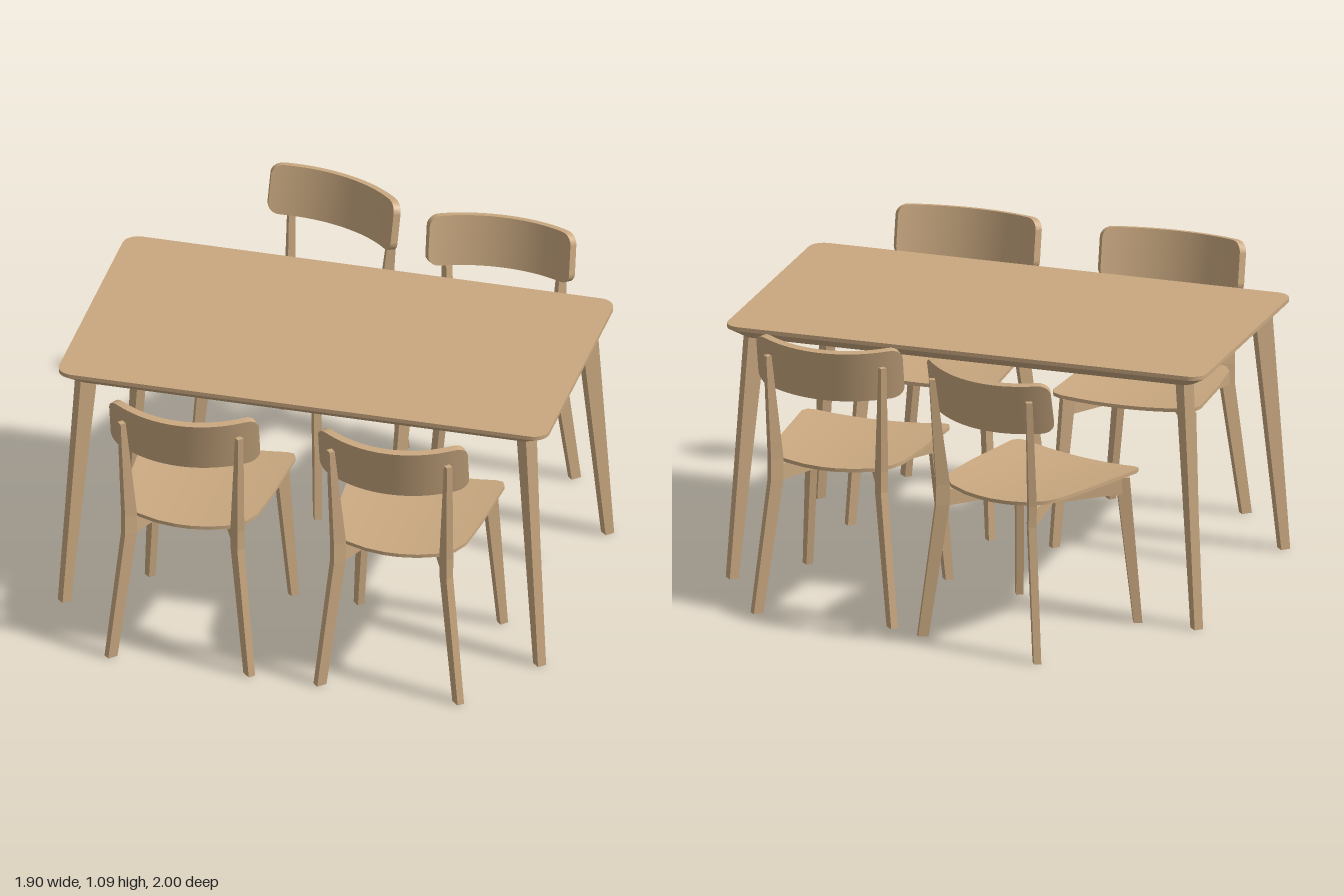
import * as THREE from 'three';

const wood = new THREE.MeshStandardMaterial({ color: 0xc9a880 });
wood.name = 'wood';

function add(parent, name, geometry) {
  const mesh = new THREE.Mesh(geometry, wood);
  mesh.name = name;
  parent.add(mesh);
  return mesh;
}

// Move every vertex of a geometry by a rule
function warp(geometry, rule) {
  const p = geometry.attributes.position;
  for (let i = 0; i < p.count; i++) p.setXYZ(i, ...rule(p.getX(i), p.getY(i), p.getZ(i)));
  geometry.computeVertexNormals();
  return geometry;
}

// Leg through sections [x, y, z, radial width, tangential width], set diagonally in plan
function leg(sections, sx, sz) {
  const n = sections.length - 1;
  const a = Math.atan2(-sz, sx), c = Math.cos(a), s = Math.sin(a);
  const g = warp(new THREE.BoxGeometry(1, 1, 1, 1, n, 1), (x, y, z) => {
    const [cx, cy, cz, r, t] = sections[Math.round((y + 0.5) * n)];
    return [cx * sx + x * r * c + z * t * s, cy, cz * sz - x * r * s + z * t * c];
  }).toNonIndexed();
  g.computeVertexNormals();
  return g;
}

// Upright plank between two plan points
function rail(parent, name, x1, z1, x2, z2) {
  const length = Math.hypot(x2 - x1, z2 - z1);
  const m = add(parent, name, new THREE.BoxGeometry(length, 0.063, 0.03));
  m.position.set((x1 + x2) / 2, 0.546, (z1 + z2) / 2);
  m.rotation.y = Math.atan2(z1 - z2, x2 - x1);
}

// Seat outline: z and half width, front to back
const seatRows = [[-0.31, 0.25], [-0.3, 0.28], [-0.27, 0.293], [0, 0.277], [0.16, 0.258],
  [0.215, 0.23], [0.255, 0.18], [0.277, 0.1], [0.285, 0.03]];

function seatGeometry() {
  const n = seatRows.length - 1;
  return warp(new THREE.BoxGeometry(2, 0.014, 2, 14, 1, n), (x, y, z) => {
    const [rz, w] = seatRows[Math.round((z + 1) / 2 * n)];
    const px = x * w;
    return [px, 0.586 + y + 0.018 * (px / 0.29) ** 2, rz];
  });
}

// Curved backrest with rounded corners, its outer middle at the origin
function backrestGeometry() {
  const half = 0.29, r = 0.04, bend = 0.47;
  return warp(new THREE.BoxGeometry(2, 2, 0.028, 28, 1, 1), (x, y, z) => {
    const px = half * Math.sin(x * Math.PI / 2);
    const over = Math.max(0, Math.abs(px) - (half - r));
    const h = 0.1 - r + Math.sqrt(Math.max(0, r * r - over * over));
    const angle = Math.asin(px / bend), radius = bend - 0.014 + z;
    return [radius * Math.sin(angle), y * h, radius * Math.cos(angle) - bend];
  });
}

// Chair with its back toward +z
function chair(x, z, turn) {
  const g = new THREE.Group();
  g.name = 'chair';
  const backLeg = [[0.268, 0, 0.316, 0.04, 0.028], [0.21, 0.52, 0.272, 0.052, 0.03],
    [0.21, 0.6, 0.27, 0.052, 0.03], [0.228, 1.02, 0.312, 0.022, 0.024]];
  const frontLeg = [[0.278, 0, 0.297, 0.032, 0.028], [0.242, 0.578, 0.25, 0.052, 0.03]];
  for (const s of [-1, 1]) {
    add(g, 'backLeg', leg(backLeg, s, 1));
    add(g, 'frontLeg', leg(frontLeg, s, -1));
    rail(g, 'backRail', s * 0.21, 0.27, s * 0.09, 0);
    rail(g, 'frontRail', s * 0.24, -0.25, s * 0.09, 0);
  }
  rail(g, 'crossRail', -0.095, 0, 0.095, 0);
  add(g, 'seat', seatGeometry());
  const back = add(g, 'backrest', backrestGeometry());
  back.position.set(0, 0.972, 0.347);
  back.rotation.x = 0.18;
  g.position.set(x, 0, z);
  g.rotation.y = turn;
  return g;
}

function table() {
  const g = new THREE.Group();
  g.name = 'table';
  // Rounded top: thin straight edge above an undercut bevel
  const X = 0.95, Z = 0.525, r = 0.06;
  const outline = new THREE.Shape();
  for (const [cx, cy, a] of [[1, 1, 0], [-1, 1, 1], [-1, -1, 2], [1, -1, 3]])
    outline.absarc(cx * (X - r), cy * (Z - r), r, a * Math.PI / 2, (a + 1) * Math.PI / 2);
  const slab = depth => new THREE.ExtrudeGeometry(outline, { depth, bevelEnabled: false, curveSegments: 6 })
    .rotateX(-Math.PI / 2);
  add(g, 'tableTop', slab(0.016)).position.y = 0.984;
  const under = warp(slab(0.034), (x, y, z) => y < 0.01
    ? [x * (X - 0.05) / X, y, z * (Z - 0.04) / Z] : [x, y, z]);
  add(g, 'tableTopBevel', under).position.y = 0.95;
  const sections = [[0.921, 0, 0.5, 0.037, 0.035], [0.852, 0.955, 0.44, 0.072, 0.042]];
  for (const sx of [-1, 1]) for (const sz of [-1, 1]) add(g, 'tableLeg', leg(sections, sx, sz));
  g.position.z = 0.095;
  return g;
}

export function createModel() {
  const model = new THREE.Group();
  model.name = 'diningSet';
  model.add(
    table(),
    chair(0.43, 0.63, 0),
    chair(-0.38, 0.63, 0),
    chair(0.43, -0.45, Math.PI),
    chair(-0.33, -0.6, Math.PI - 0.315),
  );
  return model;
}
